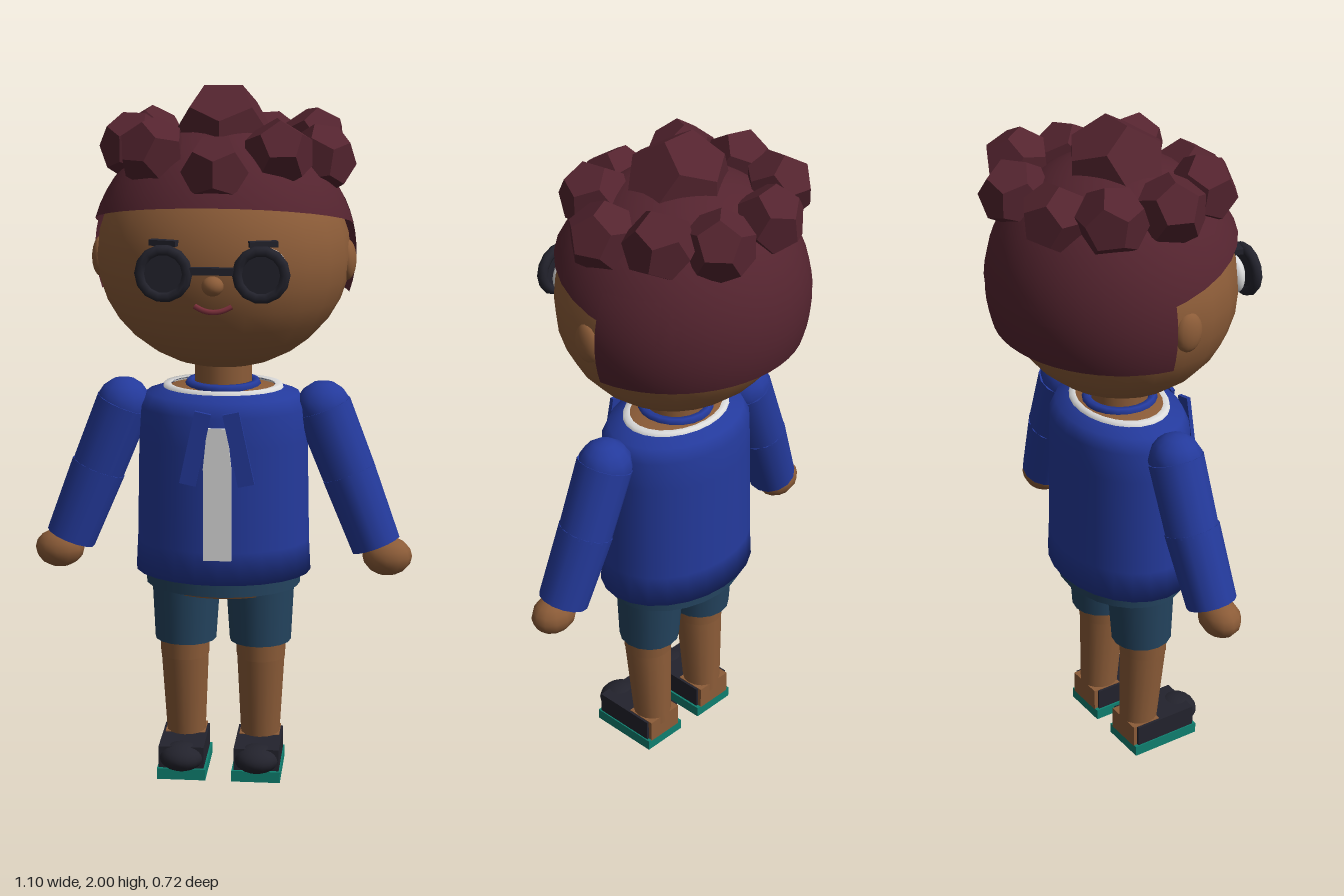
import * as THREE from 'three';
import { ParametricGeometry } from 'three/addons/geometries/ParametricGeometry.js';

const mat = (name, color, side = THREE.FrontSide) =>
  Object.assign(new THREE.MeshStandardMaterial({ color, side }), { name });

export function createModel() {
  const model = new THREE.Group();
  model.name = 'child';
  const hair = mat('hair maroon', 0x54242f, THREE.DoubleSide);
  const skin = mat('skin brown', 0x8c5c38);
  const blue = mat('jacket blue', 0x243a9c, THREE.DoubleSide);
  const navy = mat('shorts navy', 0x24445f);
  const teal = mat('sole teal', 0x0f8070);
  const dark = mat('charcoal', 0x23232d);
  const white = mat('white', 0xdcdcdc, THREE.DoubleSide);
  const lip = mat('lip red', 0x7a2f3a);

  const add = (name, geo, material, x = 0, y = 0, z = 0, parent = model) => {
    const m = new THREE.Mesh(geo, material);
    m.name = name;
    m.position.set(x, y, z);
    parent.add(m);
    return m;
  };
  const ball = (name, m, x, y, z, rx, ry, rz, w = 16, h = 12) => {
    const b = add(name, new THREE.SphereGeometry(1, w, h), m, x, y, z);
    b.scale.set(rx, ry, rz);
    return b;
  };
  const box = (name, m, x, y, z, w, h, d) => add(name, new THREE.BoxGeometry(w, h, d), m, x, y, z);
  // tapered cylinder between two points
  const limb = (name, m, a, b, ra, rb, seg = 14) => {
    const p = new THREE.Vector3(...a), q = new THREE.Vector3(...b);
    const c = add(name, new THREE.CylinderGeometry(rb, ra, p.distanceTo(q), seg), m);
    c.position.copy(p).lerp(q, 0.5);
    c.quaternion.setFromUnitVectors(new THREE.Vector3(0, 1, 0), q.sub(p).normalize());
    return c;
  };
  const lathe = (name, m, pts, sx, sz, seg = 24) => {
    const l = add(name, new THREE.LatheGeometry(pts.map(p => new THREE.Vector2(...p)), seg), m, 0, 0, 0.01);
    l.scale.set(sx, 1, sz);
    return l;
  };

  // Head and neck
  ball('head', skin, 0, 1.53, 0, 0.36, 0.327, 0.328, 24, 16);
  add('neck', new THREE.CylinderGeometry(0.082, 0.082, 0.16, 16), skin, 0, 1.18, 0.012);
  ball('nose', skin, 0, 1.49, 0.328, 0.03, 0.027, 0.028);
  const smile = new THREE.QuadraticBezierCurve3(
    new THREE.Vector3(-0.05, 1.432, 0.311), new THREE.Vector3(0, 1.402, 0.327), new THREE.Vector3(0.05, 1.432, 0.311));
  add('mouth', new THREE.TubeGeometry(smile, 12, 0.008, 6), lip);

  // Hair: tilted cap, nape shell and curls
  const cap = add('hairCap', new THREE.SphereGeometry(1, 32, 12, 0, Math.PI * 2, 0, 1.33), hair, 0, 1.53, 0);
  cap.scale.set(0.376, 0.37, 0.363);
  cap.rotation.x = -0.24;
  add('hairBack', new ParametricGeometry((u, v, t) => {
    const y = 1.415 + 0.27 * v;
    const s = Math.sqrt(1 - ((y - 1.53) / 0.37) ** 2);
    const a0 = Math.asin(0.05 / (0.36 * s));
    const a = a0 + (Math.PI - 2 * a0) * u;
    t.set(0.378 * s * Math.cos(a), y, -0.36 * s * Math.sin(a));
  }, 24, 8), hair);
  const curlGeo = r => new THREE.DodecahedronGeometry(r);
  add('topCurl', curlGeo(0.15), hair, 0, 1.86, 0);
  [[-0.09, 1.81, -0.25], [0.11, 1.81, -0.255], [-0.225, 1.83, -0.16], [0.245, 1.83, -0.165],
    [-0.25, 1.83, 0.01], [0.275, 1.8, 0.015], [-0.18, 1.83, 0.16], [0.165, 1.83, 0.155], [0, 1.79, 0.235],
  ].forEach(([x, y, z], i) => {
    const c = add('curl', curlGeo(0.099), hair, x, y, z);
    c.rotation.set(0, i === 8 ? 0 : i * 0.7, i === 8 ? 0 : 0.15 * (i % 3 - 1));
  });

  // Torso: jacket, collar, undershirt panel, waist
  lathe('jacket', blue, [[0, 0.605], [1.02, 0.605], [1, 0.7], [0.975, 1], [0.965, 1.09], [0.88, 1.13], [0.66, 1.148]], 0.25, 0.19);
  lathe('collarEdge', white, [[0.7, 1.14], [0.68, 1.156], [0.6, 1.154]], 0.25, 0.19);
  lathe('upperChest', skin, [[0.63, 1.145], [0.5, 1.153], [0.2, 1.16]], 0.25, 0.19);
  const neckband = add('neckband', new THREE.TorusGeometry(0.095, 0.014, 6, 20), blue, 0, 1.156, 0.012);
  neckband.rotation.x = Math.PI / 2;
  const panel = new THREE.Shape([[-0.04, 0.68], [0.04, 0.68], [0.04, 0.95], [0.028, 1.065], [-0.028, 1.065], [-0.04, 0.95]]
    .map(p => new THREE.Vector2(...p)));
  add('shirtPanel', new THREE.ExtrudeGeometry(panel, { depth: 0.009, bevelEnabled: false }), white, 0, 0, 0.197);
  add('waistband', new THREE.CylinderGeometry(1, 1, 0.05, 24), navy, 0, 0.59, 0.012).scale.set(0.225, 1, 0.175);
  add('hips', new THREE.CylinderGeometry(1, 0.9, 0.03, 20), skin, 0, 0.56, 0.012).scale.set(0.195, 1, 0.14);

  for (const s of [-1, 1]) {
    // Face details
    ball('ear', skin, s * 0.35, 1.515, 0, 0.026, 0.058, 0.042);
    ball('eye', white, s * 0.145, 1.53, 0.288, 0.055, 0.06, 0.028);
    const brow = box('brow', dark, s * 0.135, 1.603, 0.305, 0.078, 0.016, 0.025);
    brow.rotation.y = s * 0.3;

    // Round spectacles
    add('spectacleRim', new THREE.TorusGeometry(0.064, 0.015, 8, 14), dark, s * 0.132, 1.525, 0.34);
    const lens = add('spectacleLens', new THREE.CylinderGeometry(0.064, 0.064, 0.012, 14), dark, s * 0.132, 1.525, 0.34);
    lens.rotation.x = Math.PI / 2;

    // Jacket ties
    const tie = box('tie', blue, s * 0.061, 1.008, 0.21, 0.047, 0.212, 0.012);
    tie.rotation.z = s * 0.21;

    // Arms
    ball('shoulder', blue, s * 0.288, 1.086, 0.01, 0.081, 0.081, 0.078, 12, 8);
    limb('upperArm', blue, [s * 0.288, 1.09, 0.01], [s * 0.367, 0.89, 0.015], 0.081, 0.078);
    limb('forearm', blue, [s * 0.363, 0.9, 0.015], [s * 0.445, 0.69, 0.03], 0.08, 0.073);
    ball('hand', skin, s * 0.478, 0.658, 0.035, 0.072, 0.057, 0.057, 12, 8);

    // Legs
    limb('shortsLeg', navy, [s * 0.11, 0.39, 0.018], [s * 0.108, 0.58, 0.015], 0.09, 0.101, 16);
    limb('thigh', skin, [s * 0.112, 0.34, 0.022], [s * 0.112, 0.42, 0.022], 0.071, 0.075, 16);
    limb('shin', skin, [s * 0.11, 0.07, 0.006], [s * 0.112, 0.345, 0.022], 0.056, 0.07, 16);

    // Feet
    box('heel', skin, s * 0.11, 0.065, 0, 0.118, 0.07, 0.092);
    box('shoe', dark, s * 0.11, 0.065, 0.066, 0.132, 0.066, 0.2);
    ball('toe', dark, s * 0.11, 0.063, 0.148, 0.066, 0.041, 0.062);
    box('sole', teal, s * 0.109, 0.0165, 0.065, 0.142, 0.033, 0.22);
  }
  box('spectacleBridge', dark, 0, 1.533, 0.34, 0.125, 0.02, 0.018);
  return model;
}
